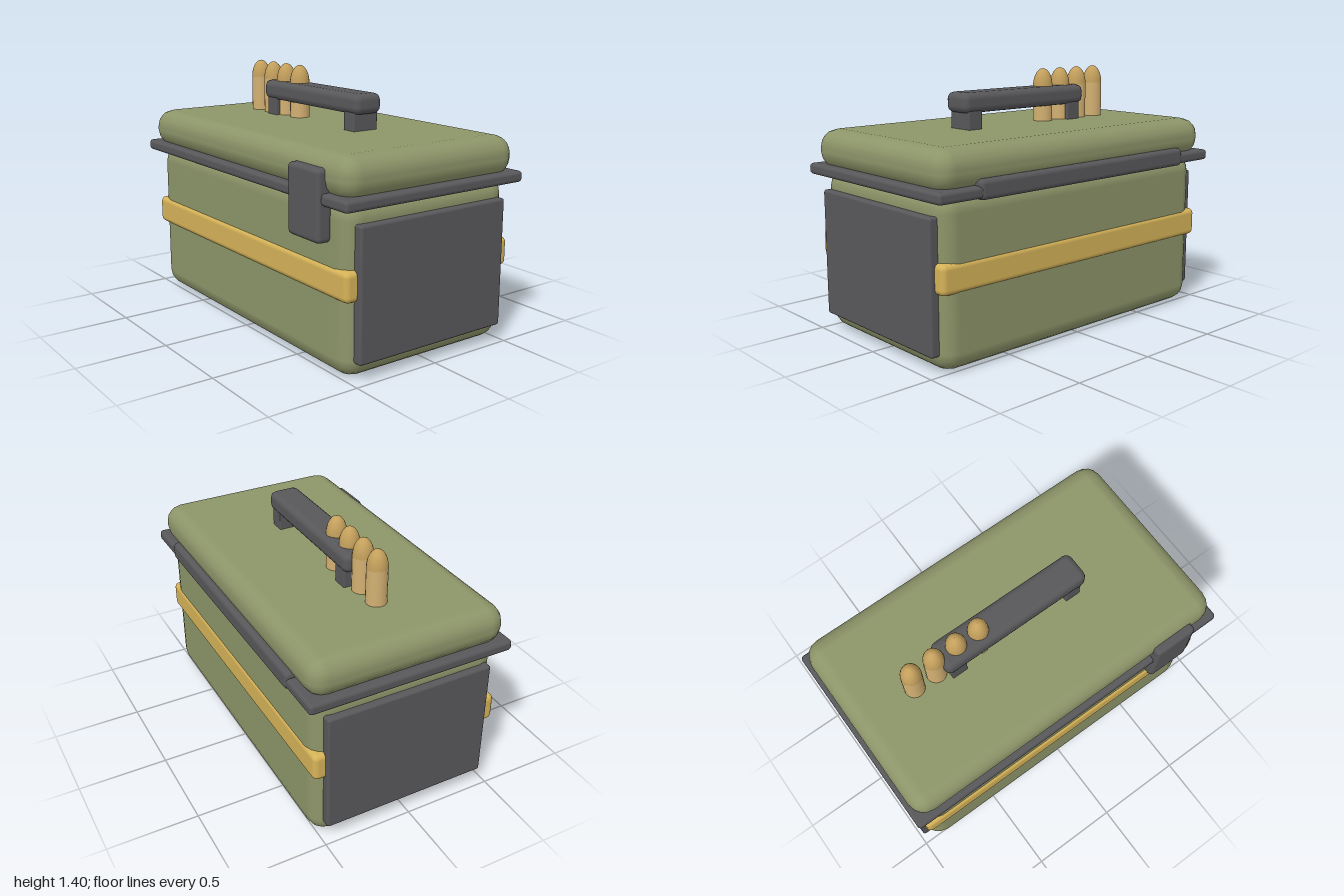
import * as THREE from 'three';
import { RoundedBoxGeometry } from 'three/addons/geometries/RoundedBoxGeometry.js';

const paint = (name, color) => {
  const m = new THREE.MeshStandardMaterial({ color });
  m.name = name;
  return m;
};

export function createModel() {
  const green = paint('olive green', 0x8d9569);
  const metal = paint('dark metal', 0x58585b);
  const gold = paint('gold', 0xd6b358);
  const brass = paint('brass', 0xd3b072);
  const tipBrass = paint('tip brass', 0xc4a05c);

  const model = new THREE.Group();
  model.name = 'ammunitionBox';

  // Rounded block given by its extents on each axis
  const block = (name, material, [x0, x1], [y0, y1], [z0, z1], radius, segments = 2) => {
    const geometry = new RoundedBoxGeometry(x1 - x0, y1 - y0, z1 - z0, segments, radius);
    const mesh = new THREE.Mesh(geometry, material);
    mesh.position.set((x0 + x1) / 2, (y0 + y1) / 2, (z0 + z1) / 2);
    mesh.name = name;
    model.add(mesh);
  };

  // Case, rim and lid
  block('body', green, [-0.943, 0.943], [0.005, 0.9], [-0.535, 0.52], 0.1);
  block('rim', metal, [-1, 1], [0.865, 0.925], [-0.587, 0.572], 0.02);
  block('lid', green, [-0.978, 0.976], [0.895, 1.113], [-0.565, 0.552], 0.1);

  // Side plates
  block('leftPlate', metal, [0.9, 0.98], [0.095, 0.79], [-0.48, 0.467], 0.015);
  block('rightPlate', metal, [-0.98, -0.9], [0.095, 0.79], [-0.48, 0.467], 0.015);

  // Bands across the front and back
  block('frontBand', gold, [-0.957, 0.953], [0.41, 0.567], [0.435, 0.533], 0.03);
  block('backBand', gold, [-0.957, 0.953], [0.41, 0.567], [-0.543, -0.445], 0.03);

  // Latch and hinge
  block('latch', metal, [0.55, 0.81], [0.68, 1.043], [0.505, 0.593], 0.025);
  block('hinge', metal, [-0.76, 0.75], [0.855, 0.957], [-0.592, -0.49], 0.025);

  // Carrying handle
  block('handleGrip', metal, [-0.45, 0.443], [1.2, 1.31], [-0.096, 0.08], 0.038);
  for (const x of [-0.373, 0.365])
    block('handlePost', metal, [x - 0.046, x + 0.046], [1.06, 1.24], [-0.086, 0.07], 0.006);

  // Row of cartridges standing on the lid
  const radius = 0.056;
  const tipProfile = [];
  for (let i = 0; i <= 8; i++) {
    const a = (i / 8) * Math.PI / 2;
    tipProfile.push(new THREE.Vector2(radius * Math.cos(a), 0.1 * Math.sin(a)));
  }
  const casingGeometry = new THREE.CylinderGeometry(radius, radius, 0.23, 20);
  const tipGeometry = new THREE.LatheGeometry(tipProfile, 20);
  for (let i = 0; i < 4; i++) {
    const cartridge = new THREE.Group();
    cartridge.name = 'cartridge';
    const casing = new THREE.Mesh(casingGeometry, brass);
    casing.name = 'casing';
    casing.position.y = 1.195;
    const tip = new THREE.Mesh(tipGeometry, tipBrass);
    tip.name = 'tip';
    tip.position.y = 1.31;
    cartridge.add(casing, tip);
    cartridge.position.set(-0.61 + i * 0.137, 0, -0.008);
    model.add(cartridge);
  }

  return model;
}
